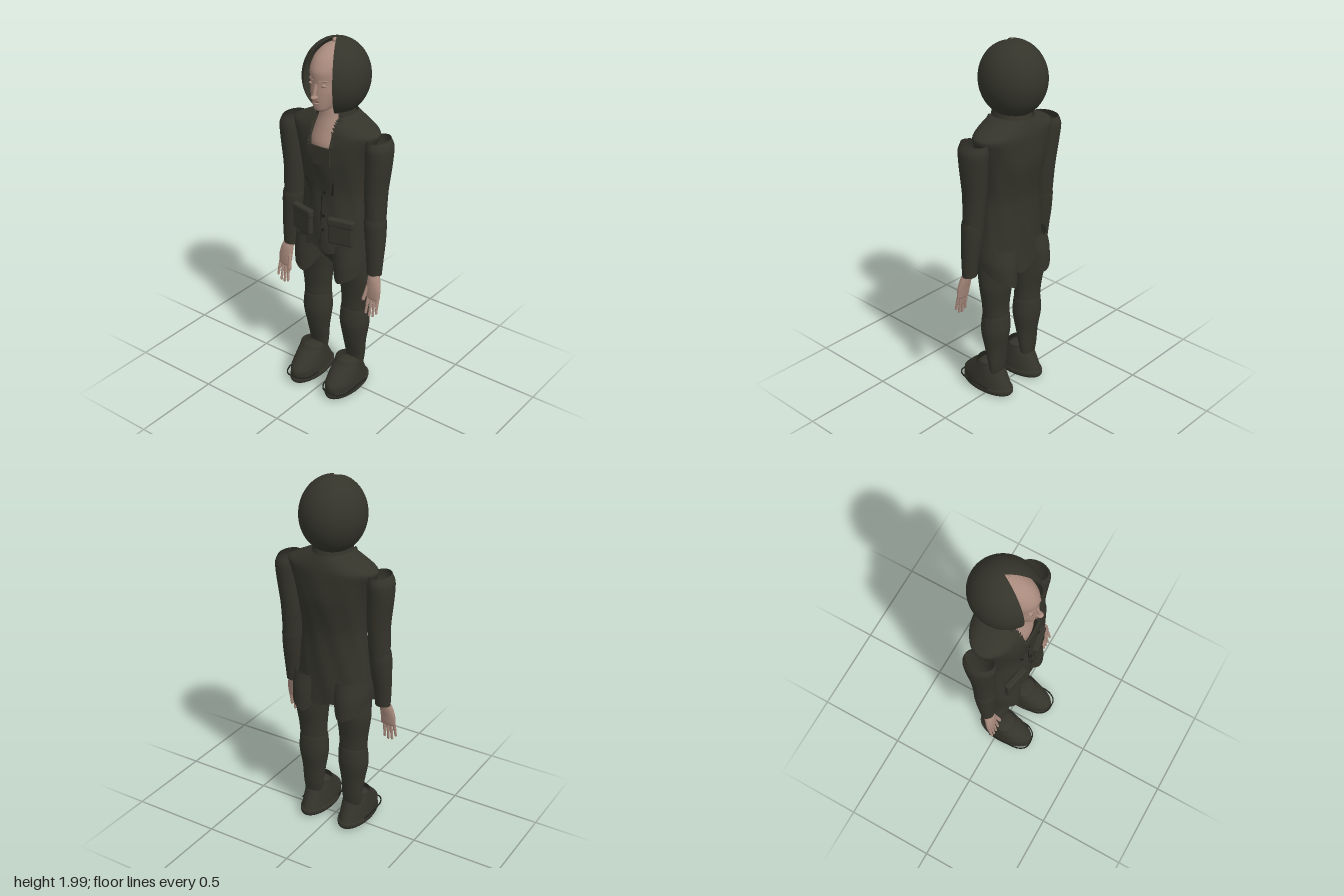
import * as THREE from 'three';
import { RoundedBoxGeometry } from 'three/addons/geometries/RoundedBoxGeometry.js';

const material = (name, color) => {
  const m = new THREE.MeshStandardMaterial({ color, side: THREE.DoubleSide });
  m.name = name;
  return m;
};

// Skin of elliptical rings, keys from bottom to top: [y, centreX, centreZ, radiusX, radiusZ]
function loft(keys, { n = 32, rows = 28, shift, skip } = {}) {
  const mid = new THREE.CatmullRomCurve3(keys.map(k => new THREE.Vector3(k[1], k[0], k[2])), false, 'catmullrom', 0.4);
  const rad = new THREE.CatmullRomCurve3(keys.map(k => new THREE.Vector3(k[3], k[4], 0)), false, 'catmullrom', 0.4);
  const pos = [], idx = [];
  for (let j = 0; j <= rows; j++) {
    const t = j / rows, c = mid.getPoint(t), r = rad.getPoint(t);
    for (let i = 0; i < n; i++) {
      const a = i / n * Math.PI * 2;
      const p = new THREE.Vector3(c.x + r.x * Math.sin(a), c.y, c.z + r.y * Math.cos(a));
      if (shift) shift(p, a, t);
      pos.push(p.x, p.y, p.z);
    }
  }
  for (let j = 0; j < rows; j++) for (let i = 0; i < n; i++) {
    const k = (i + 1) % n, a = j * n + i, b = j * n + k, c = a + n, d = b + n;
    const mean = o => (pos[a * 3 + o] + pos[b * 3 + o] + pos[c * 3 + o] + pos[d * 3 + o]) / 4;
    if (skip && skip(mean(0), mean(1), mean(2))) continue;
    idx.push(a, b, d, a, d, c);
  }
  const g = new THREE.BufferGeometry();
  g.setAttribute('position', new THREE.Float32BufferAttribute(pos, 3));
  g.setIndex(idx);
  g.computeVertexNormals();
  return g;
}

// Ellipsoid
const blob = (x, y, z, rx, ry, rz) =>
  new THREE.SphereGeometry(1, 18, 12).scale(rx, ry, rz).translate(x, y, z);

// Rounded rod between two points
function rod(a, b, r) {
  const p = new THREE.Vector3(...a), q = new THREE.Vector3(...b), d = q.clone().sub(p);
  const g = new THREE.CapsuleGeometry(r, d.length(), 4, 10);
  g.applyQuaternion(new THREE.Quaternion().setFromUnitVectors(new THREE.Vector3(0, 1, 0), d.normalize()));
  return g.translate(...p.add(q).multiplyScalar(0.5).toArray());
}

// Mirrored copy with corner order restored
function mirror(geo) {
  const g = geo.clone().scale(-1, 1, 1);
  if (!g.index) g.setIndex([...Array(g.attributes.position.count).keys()]);
  const ix = g.index.array;
  for (let i = 0; i < ix.length; i += 3) [ix[i], ix[i + 1]] = [ix[i + 1], ix[i]];
  return g;
}

export function createModel() {
  const model = new THREE.Group();
  const cloth = material('dark olive cloth', 0x34342b);
  const trim = material('dark trim', 0x20201b);
  const skin = material('skin', 0xa98a7d);
  const shade = material('face detail', 0x75594f);

  const add = (name, geo, mat) => {
    const m = new THREE.Mesh(geo, mat);
    m.name = name;
    model.add(m);
  };
  const pair = (name, geo, mat) => {
    add(name + 'Left', geo, mat);
    add(name + 'Right', mirror(geo), mat);
  };

  // Hood: sphere with a wedge left open over the face
  add('hood', new THREE.SphereGeometry(1, 56, 36, Math.PI / 2 + 0.55, Math.PI * 2 - 1.1)
    .scale(0.17, 0.197, 0.18).translate(-0.003, 1.803, -0.03), cloth);
  add('crownSpot', blob(-0.005, 1.988, -0.018, 0.013, 0.012, 0.013), skin);

  // Head and face
  add('head', loft([
    [1.655, 0, 0.1, 0.012, 0.012], [1.672, 0, 0.085, 0.042, 0.05], [1.71, 0, 0.045, 0.066, 0.098],
    [1.76, 0, 0.022, 0.084, 0.122], [1.81, 0, 0.008, 0.09, 0.134], [1.87, 0, 0, 0.094, 0.145],
    [1.925, 0, -0.01, 0.082, 0.125], [1.965, 0, -0.02, 0.05, 0.08], [1.984, 0, -0.02, 0.004, 0.005],
  ], { n: 40, rows: 40 }), skin);
  add('nose', rod([0, 1.8, 0.138], [0, 1.75, 0.155], 0.009), skin);
  add('noseTip', blob(0, 1.743, 0.153, 0.017, 0.011, 0.021), skin);
  add('upperLip', blob(0, 1.719, 0.143, 0.022, 0.005, 0.009), shade);
  add('lowerLip', blob(0, 1.709, 0.14, 0.018, 0.005, 0.009), skin);
  pair('eyelid', blob(0.036, 1.802, 0.127, 0.017, 0.009, 0.01), skin);
  pair('eye', blob(0.036, 1.801, 0.131, 0.014, 0.0035, 0.008), shade);
  pair('brow', rod([0.02, 1.824, 0.139], [0.052, 1.826, 0.122], 0.004), skin);

  // Neck and bare chest
  add('neck', loft([
    [1.4, 0, 0, 0.11, 0.105], [1.48, 0, 0.005, 0.11, 0.108], [1.56, 0, 0, 0.09, 0.09],
    [1.62, 0, 0, 0.068, 0.075], [1.71, 0, 0, 0.062, 0.07],
  ]), skin);

  // Jacket with open neckline and a tail that dips at the back
  add('jacket', loft([
    [0.88, 0, -0.01, 0.212, 0.13], [1.0, 0, -0.012, 0.2, 0.125], [1.2, 0, -0.018, 0.184, 0.118],
    [1.38, 0, -0.022, 0.206, 0.146], [1.48, 0, -0.025, 0.235, 0.146], [1.54, 0, -0.03, 0.252, 0.138],
    [1.58, 0, -0.032, 0.185, 0.128], [1.62, 0, -0.035, 0.1, 0.11],
  ], {
    n: 96, rows: 70,
    shift: (p, a, t) => {
      const back = Math.max(0, -Math.cos(a)), low = Math.pow(1 - t, 5);
      p.y -= low * (0.11 * back * back + 0.012 * Math.sin(a * 7));
      p.z += 0.003 * Math.sin(a * 9 + p.y * 14) * (1 - t);
    },
    skip: (x, y, z) => z > 0 && y > 1.47 && Math.abs(x) < 0.068,
  }), cloth);
  add('collar', loft([
    [1.57, 0, -0.025, 0.125, 0.115], [1.6, 0, -0.025, 0.105, 0.108], [1.645, 0, -0.02, 0.095, 0.1],
  ], { n: 64, rows: 8, skip: (x, y, z) => z > 0 && Math.abs(x) < 0.07 }), cloth);
  pair('lapel', rod([0.084, 1.61, 0.05], [0.07, 1.48, 0.115], 0.009), cloth);
  add('bibUpper', new THREE.BoxGeometry(0.14, 0.05, 0.008).translate(0, 1.448, 0.126), cloth);
  add('bibLower', new THREE.BoxGeometry(0.105, 0.055, 0.008).translate(0.018, 1.4, 0.126), cloth);
  add('frontSeam', rod([0.002, 0.91, 0.118], [0.002, 1.19, 0.101], 0.003), trim);
  for (const [y, z] of [[1.21, 0.101], [1.08, 0.11], [1.0, 0.114]])
    add('button', new THREE.CylinderGeometry(0.009, 0.009, 0.009, 16).rotateX(Math.PI / 2).translate(0.018, y, z), trim);
  pair('dart', rod([0.085, 1.29, 0.119], [0.068, 1.21, 0.098], 0.004), trim);

  // Pockets
  const place = g => g.rotateY(0.22).rotateX(-0.03);
  pair('pocket', place(new RoundedBoxGeometry(0.142, 0.145, 0.034, 4, 0.014)).translate(0.124, 1.013, 0.098), cloth);
  pair('pocketFlap', place(new RoundedBoxGeometry(0.148, 0.045, 0.038, 3, 0.012)).translate(0.124, 1.065, 0.1), cloth);

  // Sleeves, open at the shoulder
  pair('upperSleeve', loft([
    [1.085, 0.265, -0.004, 0.056, 0.055], [1.25, 0.262, -0.012, 0.06, 0.065], [1.4, 0.27, -0.016, 0.067, 0.078],
    [1.49, 0.273, -0.018, 0.066, 0.086], [1.535, 0.268, -0.018, 0.052, 0.076],
  ]), cloth);
  pair('lowerSleeve', loft([
    [0.785, 0.278, 0.016, 0.042, 0.036], [0.87, 0.278, 0.012, 0.047, 0.042], [0.98, 0.273, 0.004, 0.056, 0.052],
    [1.07, 0.268, 0, 0.06, 0.058], [1.105, 0.266, -0.002, 0.057, 0.055],
  ]), cloth);

  // Hands
  pair('palm', loft([
    [0.648, 0.299, 0.052, 0.03, 0.008], [0.66, 0.298, 0.05, 0.04, 0.014], [0.71, 0.295, 0.044, 0.043, 0.02],
    [0.76, 0.29, 0.034, 0.037, 0.024], [0.8, 0.284, 0.022, 0.029, 0.022],
  ]), skin);
  [[0.27, 0.265, 0.565], [0.289, 0.288, 0.555], [0.308, 0.31, 0.56], [0.328, 0.332, 0.585]].forEach(([x0, x1, y1]) => {
    const ym = (0.66 + y1) / 2;
    pair('fingerBase', rod([x0, 0.66, 0.052], [(x0 + x1) / 2, ym, 0.06], 0.0085), skin);
    pair('fingerTip', rod([(x0 + x1) / 2, ym, 0.06], [x1, y1, 0.068], 0.007), skin);
  });
  pair('thumb', rod([0.262, 0.715, 0.05], [0.25, 0.645, 0.07], 0.01), skin);

  // Trousers: seat, flared hip panels with arched hems, thighs and calves
  add('trouserSeat', loft([
    [0.75, 0, -0.03, 0.015, 0.04], [0.84, 0, -0.02, 0.11, 0.095], [0.95, 0, -0.012, 0.17, 0.11],
  ]), cloth);
  pair('hipPanel', loft([
    [0.715, 0.13, -0.018, 0.095, 0.142], [0.82, 0.126, -0.018, 0.102, 0.138], [0.92, 0.116, -0.015, 0.108, 0.12],
  ], {
    n: 48, rows: 14,
    shift: (p, a, t) => { p.y += (1 - t) * (0.085 * Math.sin(a) ** 2 + 0.008 * Math.sin(a * 5)); },
  }), cloth);
  pair('thigh', loft([
    [0.49, 0.125, -0.026, 0.077, 0.066], [0.58, 0.128, -0.028, 0.082, 0.068], [0.7, 0.13, -0.03, 0.095, 0.085],
    [0.82, 0.12, -0.022, 0.096, 0.105], [0.92, 0.11, -0.02, 0.09, 0.1],
  ]), cloth);
  pair('calf', loft([
    [0.13, 0.125, -0.032, 0.05, 0.03], [0.2, 0.125, -0.034, 0.06, 0.038], [0.3, 0.125, -0.026, 0.069, 0.055],
    [0.41, 0.126, -0.024, 0.085, 0.074], [0.5, 0.125, -0.026, 0.08, 0.069], [0.52, 0.125, -0.026, 0.074, 0.062],
  ]), cloth);

  // Shoes with sole and a thin welt wire
  pair('shoe', loft([
    [0.045, 0.122, 0.04, 0.082, 0.163], [0.09, 0.122, 0.05, 0.081, 0.15], [0.14, 0.122, 0.04, 0.077, 0.112],
    [0.18, 0.122, 0.03, 0.073, 0.076], [0.2, 0.122, 0.026, 0.071, 0.066],
  ], { n: 40 }), cloth);
  pair('shoeTongue', blob(0.122, 0.165, 0.03, 0.066, 0.025, 0.06), cloth);
  pair('sole', loft([
    [0.006, 0.122, 0.04, 0.004, 0.006], [0.006, 0.122, 0.04, 0.065, 0.14], [0.022, 0.122, 0.038, 0.083, 0.168],
    [0.045, 0.122, 0.038, 0.085, 0.168], [0.05, 0.122, 0.04, 0.075, 0.155],
  ], { n: 40, rows: 20 }), cloth);
  const welt = [[0.205, -0.03], [0.206, 0.08], [0.198, 0.16], [0.17, 0.2], [0.122, 0.206], [0.08, 0.195], [0.05, 0.155], [0.04, 0.09]];
  pair('welt', new THREE.TubeGeometry(
    new THREE.CatmullRomCurve3(welt.map(([x, z]) => new THREE.Vector3(x, 0.054, z))), 48, 0.004, 6), trim);

  return model;
}
